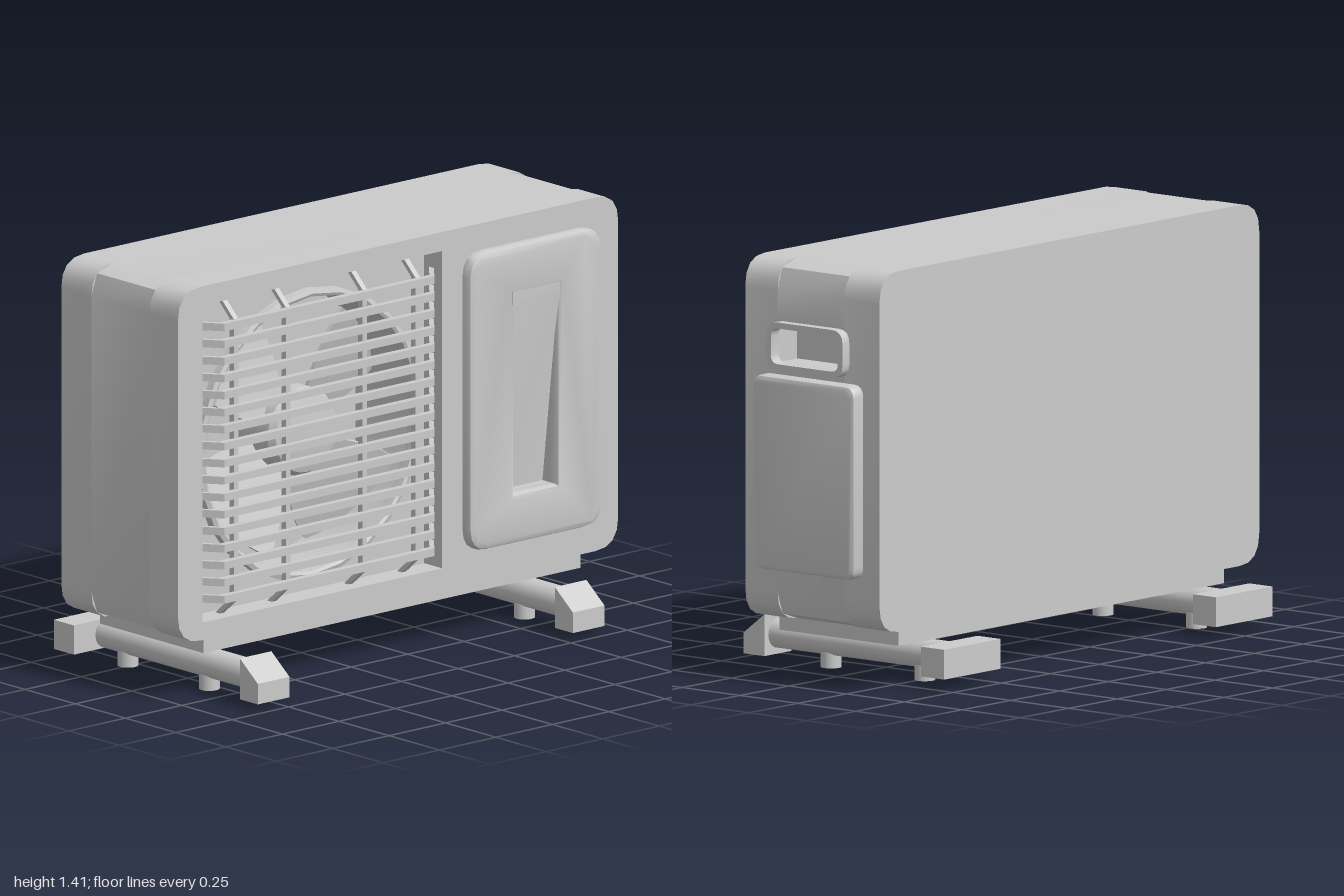
import * as THREE from 'three';
import { toCreasedNormals } from 'three/addons/utils/BufferGeometryUtils.js';

const material = new THREE.MeshStandardMaterial({ color: 0xcccccc });

function add(parent, name, geometry, x = 0, y = 0, z = 0) {
  const mesh = new THREE.Mesh(geometry, material);
  mesh.name = name;
  mesh.position.set(x, y, z);
  parent.add(mesh);
  return mesh;
}

const box = (w, h, d) => new THREE.BoxGeometry(w, h, d);

// Closed outline from corner points
const poly = (pts) => new THREE.Shape(pts.map(([a, b]) => new THREE.Vector2(a, b)));
const rect = (l, b, r, t) => poly([[l, b], [r, b], [r, t], [l, t]]);

function roundRect(l, b, r, t, rad, ShapeType = THREE.Shape) {
  const s = new ShapeType();
  s.moveTo(l + rad, b);
  s.lineTo(r - rad, b);
  s.quadraticCurveTo(r, b, r, b + rad);
  s.lineTo(r, t - rad);
  s.quadraticCurveTo(r, t, r - rad, t);
  s.lineTo(l + rad, t);
  s.quadraticCurveTo(l, t, l, t - rad);
  s.lineTo(l, b + rad);
  s.quadraticCurveTo(l, b, l + rad, b);
  return s;
}

function extrude(shape, depth, bevel = 0, curveSegments = 4) {
  const g = new THREE.ExtrudeGeometry(shape, {
    depth, curveSegments, bevelEnabled: bevel > 0,
    bevelSize: bevel, bevelThickness: bevel, bevelOffset: -bevel, bevelSegments: 2,
  });
  return toCreasedNormals(g, 0.6);
}

// Shapes for the fan side are drawn in (-z, y) and extruded towards +x
const extrudeX = (...args) => extrude(...args).rotateY(Math.PI / 2);

// Bent flat bar: a path of [along, x] points with thickness t in x and width w
function bentBar(pts, t, w, along) {
  const inner = pts.map(([a, x]) => [a, x - t]).reverse();
  const g = extrude(poly([...pts, ...inner]), w).translate(0, 0, -w / 2);
  const out = new THREE.Vector3(1, 0, 0);
  const m = new THREE.Matrix4().makeBasis(along, out, along.clone().cross(out));
  return g.applyMatrix4(m);
}

function createBody() {
  const body = new THREE.Group();
  body.name = 'body';
  const outline = () => roundRect(-1, 0.2, 0.95, 1.41, 0.1);
  const opening = () => rect(-0.89, 0.26, 0.17, 1.345);

  add(body, 'rearCasing', extrudeX(outline(), 0.15), -0.35);

  // Middle section carries the fan cavity and the handle notch in its end
  const middle = poly([
    [-0.9, 0.2], [0.85, 0.2], [0.925, 0.225], [0.95, 0.3], [0.95, 1.07], [0.85, 1.07],
    [0.85, 1.19], [0.95, 1.19], [0.95, 1.31], [0.925, 1.385], [0.85, 1.41],
    [-0.9, 1.41], [-0.975, 1.385], [-1, 1.31], [-1, 0.3], [-0.975, 0.225],
  ]);
  middle.holes.push(opening());
  add(body, 'middleCasing', extrudeX(middle, 0.29), -0.2);

  const front = outline();
  front.holes.push(opening(), rect(0.46, 0.47, 0.65, 1.15));
  add(body, 'frontCasing', extrudeX(front, 0.14), 0.09);
  add(body, 'basePlate', box(0.515, 0.06, 1.67), -0.058, 0.174, 0.025);
  return body;
}

function createFan() {
  const fan = new THREE.Group();
  fan.name = 'fan';
  fan.position.set(0.05, 0.8, 0.355);
  fan.rotation.y = Math.PI / 2;

  // Hub with a rounded rim
  const hub = [[0, -0.1], [0.15, -0.1], [0.15, 0.07], [0.135, 0.095], [0.1, 0.105], [0, 0.11]];
  const hubGeo = new THREE.LatheGeometry(hub.map((p) => new THREE.Vector2(...p)), 32);
  add(fan, 'hub', toCreasedNormals(hubGeo.rotateX(Math.PI / 2), 0.5));

  // Swept, pitched blades
  const blade = new THREE.Shape();
  blade.moveTo(0.12, -0.07);
  blade.quadraticCurveTo(0.28, -0.17, 0.4, -0.16);
  blade.quadraticCurveTo(0.46, 0, 0.37, 0.24);
  blade.quadraticCurveTo(0.24, 0.2, 0.12, 0.08);
  const bladeGeo = extrude(blade, 0.012, 0, 8).rotateX(0.35);
  for (let i = 0; i < 4; i++) {
    add(fan, 'blade', bladeGeo).rotation.z = 0.65 + (i * Math.PI) / 2;
  }
  return fan;
}

function createShroud() {
  const shroud = new THREE.Group();
  shroud.name = 'shroud';
  const plate = rect(-0.89, 0.26, 0.17, 1.345);
  plate.holes.push(new THREE.Path().absarc(-0.355, 0.8, 0.475, 0, Math.PI * 2, true));
  add(shroud, 'shroudPlate', extrudeX(plate, 0.22, 0, 12), -0.08);
  const lip = [[0.47, -0.02], [0.495, -0.02], [0.495, 0.02], [0.48, 0.025], [0.47, 0.02], [0.47, -0.02]];
  const lipGeo = new THREE.LatheGeometry(lip.map((p) => new THREE.Vector2(...p)), 24);
  add(shroud, 'shroudLip', toCreasedNormals(lipGeo.rotateZ(-Math.PI / 2), 0.5), 0.15, 0.8, 0.355);
  return shroud;
}

function createGrille() {
  const grille = new THREE.Group();
  grille.name = 'grille';
  const slat = bentBar([[-0.89, 0.19], [-0.83, 0.27], [0.1, 0.27], [0.17, 0.19]].reverse(),
    0.025, 0.026, new THREE.Vector3(0, 0, -1));
  for (let i = 0; i < 17; i++) add(grille, 'slat', slat, 0, 0.335 + i * 0.0582, 0);
  const upright = bentBar([[0.26, 0.18], [0.32, 0.25], [1.28, 0.25], [1.345, 0.18]].reverse(),
    0.022, 0.02, new THREE.Vector3(0, 1, 0));
  for (const z of [0.76, 0.53, 0.19, -0.045]) add(grille, 'upright', upright, 0, 0, z);
  return grille;
}

function createServicePanel() {
  const panel = new THREE.Group();
  panel.name = 'servicePanel';
  const cover = roundRect(0.26, 0.3, 0.85, 1.32, 0.08);
  // The bevel widens the hole, so start it slightly smaller
  const hole = rect(0.46, 0.47, 0.65, 1.15);
  cover.holes.push(hole);
  const depth = 0.03;
  add(panel, 'cover', extrudeX(cover, depth, 0.02), 0.22);
  // Sloping floor of the grip recess
  const ramp = poly([[0.1, 0.45], [0.19, 0.45], [0.19, 0.47], [0.267, 1.12], [0.267, 1.17], [0.1, 1.17]]);
  add(panel, 'recessRamp', extrude(ramp, 0.21), 0, 0, -0.66);
  return panel;
}

function createEndFittings() {
  const fittings = new THREE.Group();
  fittings.name = 'endFittings';
  const cover = extrude(roundRect(-0.22, -0.325, 0.22, 0.325, 0.04), 0.04, 0.015).rotateY(Math.PI);
  add(fittings, 'valveCover', cover, -0.06, 0.705, -0.945);
  const frame = roundRect(-0.165, -0.08, 0.165, 0.08, 0.045);
  frame.holes.push(roundRect(-0.145, -0.06, 0.145, 0.06, 0.03, THREE.Path));
  add(fittings, 'handleFrame', extrude(frame, 0.04).rotateY(Math.PI), -0.055, 1.13, -0.945);
  return fittings;
}

function createFoot(z) {
  const foot = new THREE.Group();
  foot.name = 'foot';
  foot.position.z = z;
  const rail = new THREE.CylinderGeometry(0.05, 0.05, 0.78, 16).rotateZ(Math.PI / 2);
  add(foot, 'rail', rail, 0, 0.09, 0);
  // Sloped front cap
  const cap = poly([[0.375, 0.02], [0.465, 0.02], [0.465, 0.09], [0.375, 0.16]]);
  add(foot, 'frontCap', extrude(cap, 0.14), 0, 0, -0.07);
  add(foot, 'rearCap', box(0.1, 0.1, 0.29), -0.416, 0.09, 0);
  for (const x of [-0.26, 0.145]) {
    add(foot, 'footPad', new THREE.CylinderGeometry(0.035, 0.035, 0.06, 16), x, 0.03, 0);
  }
  return foot;
}

export function createModel() {
  const model = new THREE.Group();
  model.name = 'outdoorCoolingUnit';
  model.add(createBody(), createShroud(), createFan(), createGrille(),
    createServicePanel(), createEndFittings(), createFoot(0.785), createFoot(-0.61));
  return model;
}
